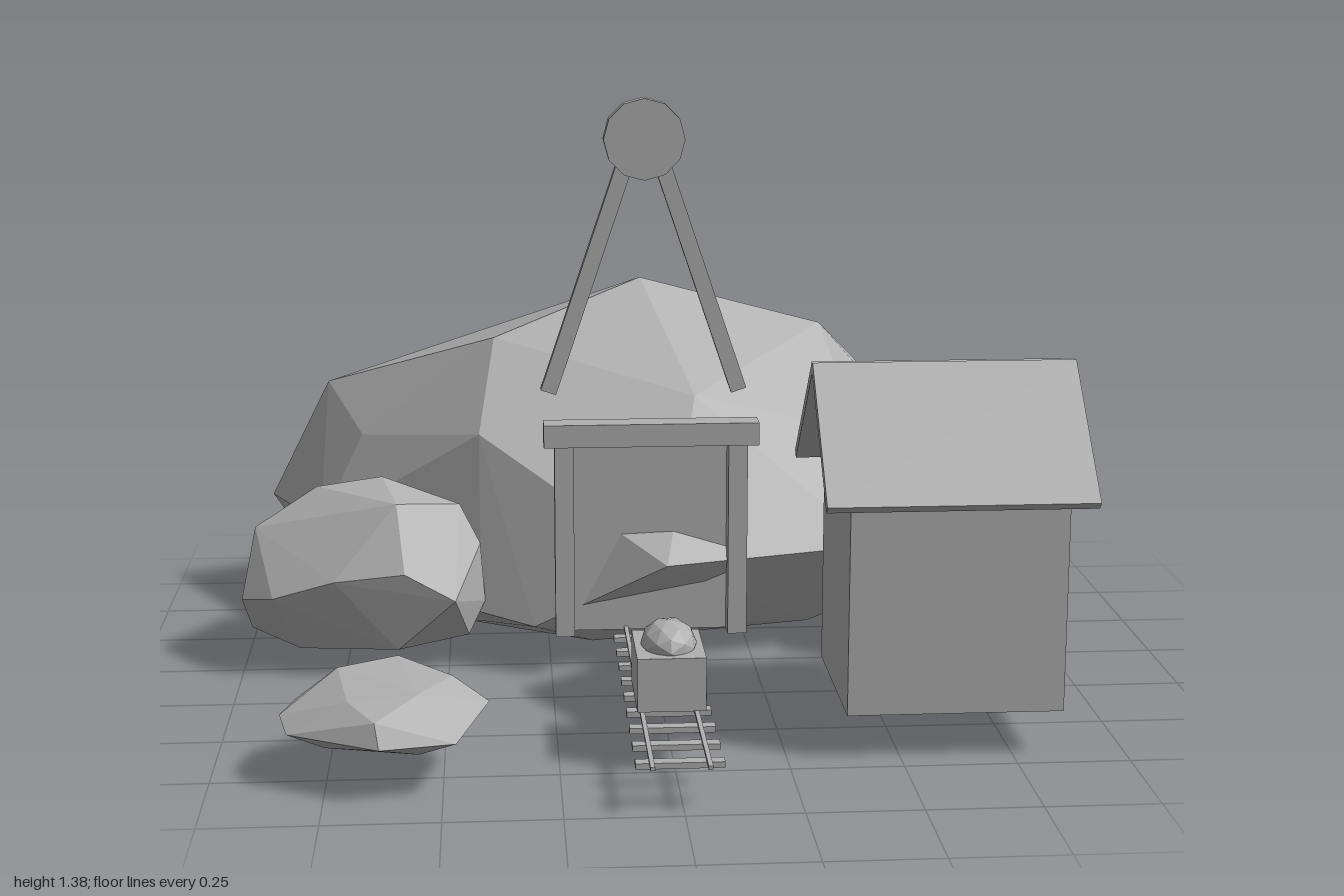
import * as THREE from 'three';
import { ConvexGeometry } from 'three/addons/geometries/ConvexGeometry.js';

const stone = new THREE.MeshStandardMaterial({ color: 0xb0b0b0, flatShading: true });
stone.name = 'plain grey';

export function createModel() {
  const model = new THREE.Group();
  model.name = 'mineEntrance';

  const add = (name, geometry, x = 0, y = 0, z = 0, parent = model) => {
    const mesh = new THREE.Mesh(geometry, stone);
    mesh.name = name;
    mesh.position.set(x, y, z);
    parent.add(mesh);
    return mesh;
  };
  // box given by its min and max on each axis
  const box = (name, x0, x1, y0, y1, z0, z1, parent) =>
    add(name, new THREE.BoxGeometry(x1 - x0, y1 - y0, z1 - z0),
      (x0 + x1) / 2, (y0 + y1) / 2, (z0 + z1) / 2, parent);
  // faceted boulder wrapped round its corner points
  const rock = (name, corners) =>
    add(name, new ConvexGeometry(corners.map((c) => new THREE.Vector3(...c))));

  // big hill behind the entrance
  rock('mountain', [
    [0, 0.885, -0.48], [0.47, 0.76, -0.48], [0.2, 0.78, -0.76], [-0.38, 0.76, -0.32], [-0.35, 0.72, -0.66],
    [-0.82, 0.59, -0.63], [-0.5, 0.5, -0.87], [0.26, 0.57, -0.92], [0.64, 0.57, -0.65],
    [0.12, 0.63, -0.19], [-0.42, 0.55, -0.14], [0.55, 0.52, -0.24], [-0.72, 0.5, -0.38],
    [-0.98, 0.27, -0.68], [-0.83, 0.28, -0.33], [-0.42, 0.12, -0.05], [-0.29, 0.1, 0.015], [0.03, 0.275, 0.11],
    [0.55, 0.28, -0.02], [0.9, 0.28, -0.33], [0.93, 0.28, -0.67], [0.55, 0.25, -0.95],
    [-0.5, 0.25, -0.9], [-0.25, 0.2, -0.95], [0.26, 0.065, -1.0], [0.55, 0.06, -0.96],
    [-0.69, 0.05, -0.8], [0.84, 0.07, -0.55], [-0.8, 0.09, -0.45],
    [-0.5, 0.03, -0.3], [-0.14, 0.005, -0.16], [0, 0, -0.45], [0.47, 0.03, -0.4], [0.4, 0.06, -0.12], [0, 0.025, -0.76],
  ]);

  // boulders beside the hill and one in front
  rock('rightBoulder', [
    [-1, 0.18, 0], [-0.97, 0.34, -0.08], [-0.97, 0.22, -0.22], [-0.82, 0.43, -0.12], [-0.66, 0.45, -0.13],
    [-0.62, 0.42, 0.03], [-0.86, 0.3, -0.33], [-0.6, 0.36, -0.3], [-0.47, 0.39, -0.08], [-0.42, 0.3, -0.04],
    [-0.41, 0.15, -0.05], [-0.48, 0.2, 0.12], [-0.6, 0.27, 0.125], [-0.77, 0.25, 0.11], [-0.92, 0.2, 0.07],
    [-0.45, 0.08, 0], [-0.86, 0.06, 0.02], [-0.98, 0.1, -0.03], [-0.86, 0.1, -0.28], [-0.65, 0.06, -0.25],
    [-0.62, 0.07, 0.08],
  ]);
  rock('leftBoulder', [
    [0.995, 0.19, -0.08], [0.995, 0.2, -0.25], [0.88, 0.33, -0.31], [0.88, 0.37, -0.13], [0.75, 0.415, -0.15],
    [0.72, 0.41, -0.04], [0.68, 0.37, 0.06], [0.7, 0.29, 0.12], [0.89, 0.2, 0.05], [0.56, 0.3, 0.03],
    [0.48, 0.2, -0.02], [0.55, 0.33, -0.2], [0.7, 0.1, -0.35], [0.87, 0.08, -0.3],
    [0.86, 0.07, -0.02], [0.7, 0.08, 0.125], [0.55, 0.08, 0.03], [0.7, 0.05, -0.15],
  ]);
  rock('frontBoulder', [
    [-0.85, 0.14, 0.72], [-0.82, 0.14, 0.61], [-0.64, 0.15, 0.47], [-0.47, 0.15, 0.56], [-0.4, 0.15, 0.69],
    [-0.47, 0.12, 0.87], [-0.63, 0.12, 0.9], [-0.83, 0.12, 0.79], [-0.73, 0.21, 0.62], [-0.6, 0.215, 0.56],
    [-0.48, 0.2, 0.66], [-0.55, 0.2, 0.78], [-0.7, 0.19, 0.79], [-0.64, 0.17, 0.87],
    [-0.74, 0.085, 0.58], [-0.55, 0.08, 0.56], [-0.47, 0.09, 0.7], [-0.75, 0.085, 0.78], [-0.55, 0.08, 0.82],
  ]);

  // timbered tunnel mouth
  const portal = new THREE.Group();
  portal.name = 'tunnelPortal';
  model.add(portal);
  for (const x of [-0.217, 0.2]) box('portalPost', x - 0.023, x + 0.023, 0.1, 0.57, 0.05, 0.1, portal);
  box('portalBeam', -0.265, 0.25, 0.57, 0.625, 0.04, 0.105, portal);
  box('tunnelPlate', -0.2, 0.18, 0.1, 0.565, 0.035, 0.05, portal);

  // two leaning legs carrying a winding wheel
  const tower = new THREE.Group();
  tower.name = 'windingTower';
  tower.position.set(-0.008, 0, 0);
  model.add(tower);
  for (const side of [-1, 1]) {
    const leg = add('towerLeg', new THREE.BoxGeometry(0.04, 0.7, 0.033), side * 0.126, 0.975, -0.203, tower);
    leg.rotation.z = side * 0.326;
  }
  const wheel = add('windingWheel', new THREE.CylinderGeometry(0.1, 0.1, 0.045, 12), 0, 1.275, -0.178, tower);
  wheel.rotation.x = Math.PI / 2;

  // hut with a pitched roof, open under the gables
  const hut = new THREE.Group();
  hut.name = 'hut';
  model.add(hut);
  box('hutWalls', 0.38, 0.86, 0.1, 0.575, 0.29, 0.7, hut);
  for (const side of [-1, 1]) {
    const slab = add('roofSlab', new THREE.BoxGeometry(0.59, 0.022, 0.37), 0.615, 0.71, 0.493 + side * 0.13, hut);
    slab.rotation.x = side * Math.PI / 4;
  }

  // track
  const track = new THREE.Group();
  track.name = 'track';
  model.add(track);
  for (const x of [-0.067, 0.053]) box('rail', x - 0.005, x + 0.005, 0.1, 0.108, 0.05, 1, track);
  for (let i = 0; i < 9; i++) {
    const z = 0.105 + i * 0.105;
    box('sleeper', -0.1, 0.087, 0.088, 0.101, z - 0.014, z + 0.014, track);
  }

  // ore cart
  const cart = new THREE.Group();
  cart.name = 'oreCart';
  model.add(cart);
  box('cartBody', -0.082, 0.068, 0.13, 0.25, 0.525, 0.73, cart);
  const ore = add('orePile', new THREE.IcosahedronGeometry(1, 1), -0.007, 0.255, 0.63, cart);
  ore.scale.set(0.062, 0.052, 0.085);

  return model;
}
